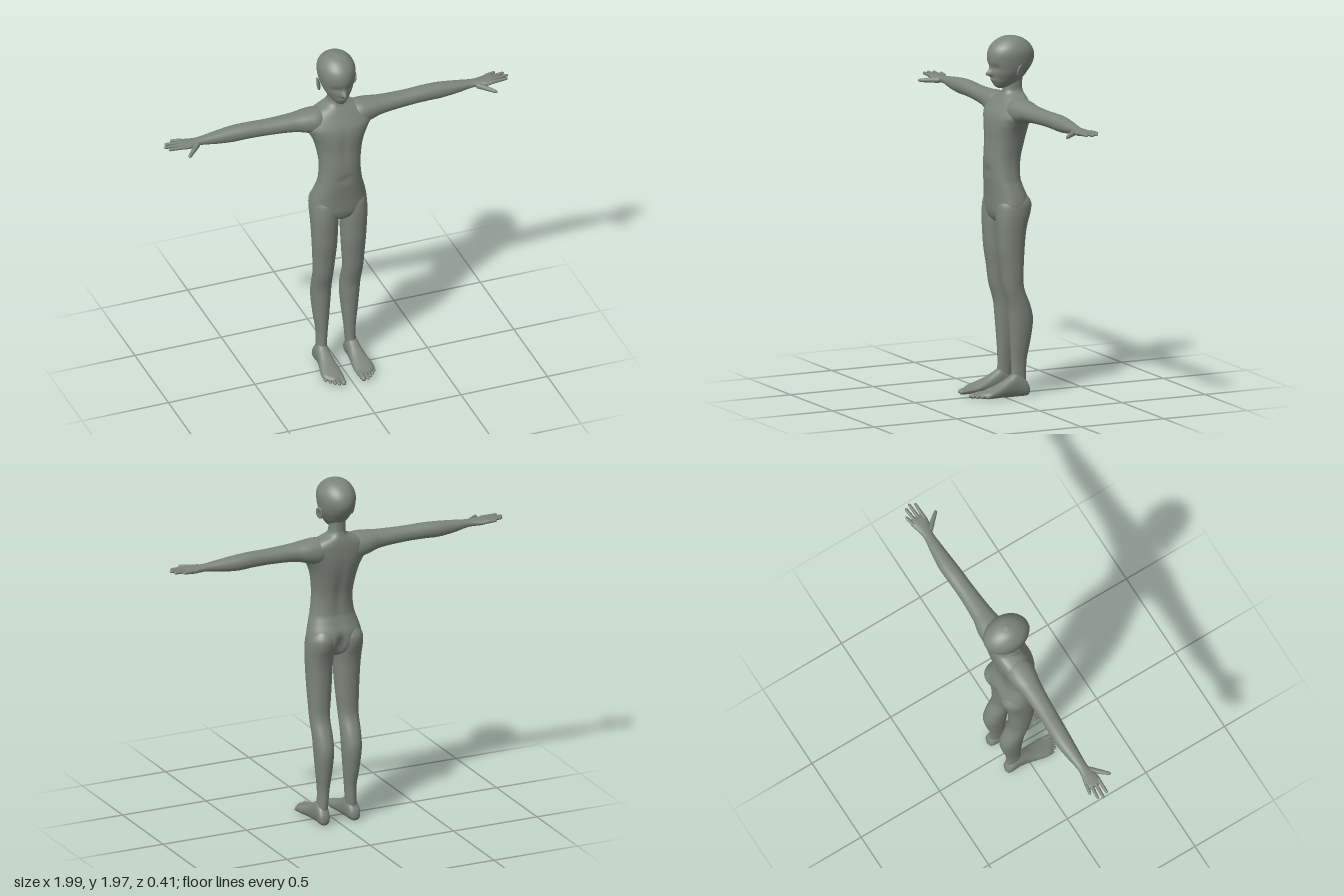
import * as THREE from 'three';

const skin = new THREE.MeshStandardMaterial({ color: 0x7d857b });
skin.name = 'grey clay';

// Smooth interpolation of cross-sections [t, a0, a1, b0, b1]
function refine(rows, steps) {
  const slope = (i, k) => {
    const p = rows[Math.max(i - 1, 0)], q = rows[Math.min(i + 1, rows.length - 1)];
    return (q[k] - p[k]) / (q[0] - p[0]);
  };
  const out = [];
  for (let i = 0; i < rows.length - 1; i++) {
    const A = rows[i], B = rows[i + 1], h = B[0] - A[0];
    for (let s = 0; s < steps; s++) {
      const u = s / steps, u2 = u * u, u3 = u2 * u;
      out.push(A.map((v, k) => k === 0 ? v + h * u :
        (2 * u3 - 3 * u2 + 1) * v + (u3 - 2 * u2 + u) * h * slope(i, k) +
        (3 * u2 - 2 * u3) * B[k] + (u3 - u2) * h * slope(i + 1, k)));
    }
  }
  out.push(rows[rows.length - 1]);
  return out;
}

// Loft of rounded rings along an axis; a, b are the next two axes in cyclic order
function loft(axis, rows, { power = 2, seg = 36, steps = 5, deform } = {}) {
  const rings = refine(rows, steps), pos = [], idx = [], v = new THREE.Vector3();
  const put = (t, a, b) => {
    v.setComponent(axis, t).setComponent((axis + 1) % 3, a).setComponent((axis + 2) % 3, b);
    if (deform) deform(v);
    pos.push(v.x, v.y, v.z);
  };
  const round = c => Math.sign(c) * Math.abs(c) ** (2 / power);
  for (const [t, a0, a1, b0, b1] of rings)
    for (let j = 0; j < seg; j++) {
      const w = j / seg * Math.PI * 2;
      put(t, (a0 + a1) / 2 + (a1 - a0) / 2 * round(Math.cos(w)),
        (b0 + b1) / 2 + (b1 - b0) / 2 * round(Math.sin(w)));
    }
  for (const r of [rings[0], rings[rings.length - 1]]) put(r[0], (r[1] + r[2]) / 2, (r[3] + r[4]) / 2);
  const n = rings.length, c0 = n * seg;
  for (let j = 0; j < seg; j++) {
    const k = (j + 1) % seg, e = (n - 1) * seg;
    for (let i = 0; i < n - 1; i++) {
      const p = i * seg, q = p + seg;
      idx.push(p + j, p + k, q + k, p + j, q + k, q + j);
    }
    idx.push(c0, k, j, c0 + 1, e + j, e + k);
  }
  const g = new THREE.BufferGeometry();
  g.setAttribute('position', new THREE.Float32BufferAttribute(pos, 3));
  g.setIndex(idx);
  g.computeVertexNormals();
  return g;
}

// Tapered rounded digit between two points
function digit(from, to, r, taper = 0.8, flat = 1) {
  const a = new THREE.Vector3(...from), d = new THREE.Vector3(...to).sub(a), len = d.length();
  const g = new THREE.CapsuleGeometry(r, len - r, 6, 14, 4);
  g.translate(0, (len - r) / 2, 0);
  const p = g.attributes.position;
  for (let i = 0; i < p.count; i++) {
    const k = 1 - (1 - taper) * THREE.MathUtils.clamp(p.getY(i) / len, 0, 1);
    p.setX(i, p.getX(i) * k);
    p.setZ(i, p.getZ(i) * k);
  }
  g.computeVertexNormals();
  g.applyQuaternion(new THREE.Quaternion().setFromUnitVectors(new THREE.Vector3(0, 1, 0), d.normalize()));
  g.scale(1, flat, 1);
  return g.translate(...from);
}

// Copy reflected to the other side, with faces turned back outward
function mirrored(g) {
  const m = g.clone().scale(-1, 1, 1), ix = m.index.array;
  for (let i = 0; i < ix.length; i += 3) [ix[i], ix[i + 1]] = [ix[i + 1], ix[i]];
  m.computeVertexNormals();
  return m;
}

const bump = (d, w) => Math.exp(-((d / w) ** 2));

export function createModel() {
  const model = new THREE.Group();
  model.name = 'figure';
  const add = (name, g) => {
    const m = new THREE.Mesh(g, skin);
    m.name = name;
    model.add(m);
  };
  const pair = (name, g) => {
    add('left' + name, g);
    add('right' + name, mirrored(g));
  };

  // Torso and neck, rows: y, back, front, -x, +x
  const torso = [
    [0.955, -0.09, 0.015, 0.03], [0.975, -0.115, 0.035, 0.09], [1.01, -0.138, 0.048, 0.15],
    [1.05, -0.148, 0.052, 0.158], [1.1, -0.145, 0.055, 0.15], [1.15, -0.126, 0.06, 0.136],
    [1.2, -0.112, 0.065, 0.122], [1.3, -0.116, 0.068, 0.113], [1.4, -0.136, 0.06, 0.126],
    [1.46, -0.148, 0.058, 0.143], [1.51, -0.154, 0.052, 0.168], [1.55, -0.156, 0.04, 0.19],
    [1.6, -0.156, 0.01, 0.18], [1.635, -0.152, -0.012, 0.115], [1.66, -0.146, -0.028, 0.056],
    [1.69, -0.14, -0.034, 0.042], [1.77, -0.146, -0.035, 0.045],
  ].map(([y, zb, zf, w]) => [y, zb, zf, -w, w]);
  add('torso', loft(1, torso, {
    power: 2.3, seg: 64, deform: v => {
      if (v.z < -0.06) {
        v.z += 0.035 * bump(v.x, 0.018) * bump(v.y - 1.02, 0.055);   // cleft
        v.z += 0.008 * bump(v.x, 0.025) * bump(v.y - 1.33, 0.16);    // spine
      } else if (v.z > 0) {
        v.z -= 0.01 * bump(v.x, 0.035) * bump(v.y - 1.235, 0.012);   // navel
        v.z -= 0.005 * bump(v.x, 0.015) * bump(v.y - 1.45, 0.08);    // breastbone
      }
    },
  }));

  // Head with nose, lips and eye hollows
  const head = [
    [1.688, -0.05, 0.0, 0.012], [1.698, -0.085, 0.018, 0.03], [1.72, -0.12, 0.03, 0.05],
    [1.745, -0.148, 0.036, 0.066], [1.77, -0.168, 0.042, 0.079], [1.8, -0.19, 0.046, 0.09],
    [1.84, -0.208, 0.056, 0.098], [1.88, -0.207, 0.055, 0.101], [1.915, -0.19, 0.04, 0.092],
    [1.945, -0.158, 0.008, 0.07], [1.963, -0.12, -0.028, 0.043], [1.972, -0.078, -0.068, 0.005],
  ].map(([y, zb, zf, w]) => [y, zb, zf, -w, w]);
  add('head', loft(1, head, {
    seg: 72, steps: 7, deform: v => {
      if (v.z < -0.02) return;
      const f = Math.min(1, (v.z + 0.02) / 0.04);
      v.z += f * 0.032 * bump(v.x, 0.014) * bump(v.y - 1.768, v.y > 1.768 ? 0.024 : 0.013);
      v.z += f * 0.008 * bump(v.x, 0.025) * bump(v.y - 1.735, 0.012);
      v.z -= f * 0.007 * bump(Math.abs(v.x) - 0.04, 0.022) * bump(v.y - 1.805, 0.018);
    },
  }));

  // Ears: dished discs leaning out and back
  const ear = new THREE.SphereGeometry(1, 24, 18), ep = ear.attributes.position;
  for (let i = 0; i < ep.count; i++) {
    const r = Math.hypot(ep.getY(i), ep.getZ(i));
    if (ep.getX(i) > 0) ep.setX(i, ep.getX(i) - 0.9 * bump(r, 0.6));
  }
  ear.scale(0.011, 0.037, 0.024);
  ear.rotateY(0.5).rotateZ(-0.15).rotateX(-0.2).translate(0.102, 1.79, -0.083);
  ear.computeVertexNormals();
  pair('Ear', ear);

  // Arms and palms, rows: x, low y, high y, back z, front z
  pair('Arm', loft(0, [
    [0.06, 1.51, 1.635, -0.14, -0.02], [0.12, 1.5, 1.643, -0.148, 0.005],
    [0.18, 1.515, 1.64, -0.146, 0.0], [0.25, 1.534, 1.633, -0.132, -0.014],
    [0.4, 1.545, 1.628, -0.126, -0.028], [0.52, 1.546, 1.63, -0.13, -0.035],
    [0.6, 1.543, 1.627, -0.131, -0.04], [0.7, 1.552, 1.617, -0.12, -0.047],
    [0.78, 1.566, 1.607, -0.109, -0.052], [0.82, 1.567, 1.604, -0.112, -0.046],
    [0.86, 1.568, 1.603, -0.122, -0.034], [0.895, 1.576, 1.602, -0.128, -0.034],
    [0.912, 1.583, 1.598, -0.122, -0.042],
  ], { power: 2.2 }));

  // Fingers and thumb
  [[-0.045, -0.046, 0.985], [-0.07, -0.077, 1.0], [-0.095, -0.105, 0.987], [-0.117, -0.129, 0.945]]
    .forEach(([z0, z1, x], i) =>
      pair('Finger' + (i + 1), digit([0.885, 1.59, z0], [x - 0.004, 1.593, z1], 0.011, 0.72)));
  pair('Thumb', digit([0.815, 1.582, -0.052], [0.892, 1.573, 0.034], 0.017, 0.5, 1));

  // Legs, rows: y, back, front, inner x, outer x
  pair('Leg', loft(1, [
    [0.06, -0.12, -0.03, 0.06, 0.118], [0.12, -0.125, -0.04, 0.056, 0.112],
    [0.2, -0.13, -0.04, 0.05, 0.112], [0.3, -0.15, -0.035, 0.04, 0.124],
    [0.42, -0.165, -0.026, 0.031, 0.135], [0.5, -0.147, -0.018, 0.03, 0.138],
    [0.6, -0.108, 0.008, 0.03, 0.141], [0.7, -0.105, 0.022, 0.022, 0.146],
    [0.8, -0.11, 0.038, 0.015, 0.151], [0.9, -0.118, 0.045, 0.011, 0.156],
    [0.96, -0.13, 0.048, 0.007, 0.159], [1.02, -0.148, 0.047, 0.007, 0.16],
    [1.07, -0.15, 0.038, 0.012, 0.154], [1.12, -0.12, 0.01, 0.028, 0.125],
  ], { power: 2.15, seg: 40 }));

  // Feet, rows: z, inner x, outer x, low y, high y
  pair('Foot', loft(2, [
    [-0.141, 0.083, 0.1, 0.02, 0.042], [-0.134, 0.066, 0.117, 0.006, 0.065],
    [-0.11, 0.056, 0.124, 0, 0.1], [-0.065, 0.052, 0.124, 0, 0.13],
    [-0.02, 0.049, 0.128, 0, 0.108], [0.03, 0.043, 0.138, 0.003, 0.08],
    [0.08, 0.037, 0.148, 0.003, 0.06], [0.115, 0.037, 0.148, 0.005, 0.048],
    [0.14, 0.039, 0.13, 0.007, 0.04], [0.16, 0.045, 0.105, 0.012, 0.034],
  ], { power: 2.3 }));

  // Toes from big to little
  [[0.055, 0.058, 0.205, 0.017], [0.08, 0.083, 0.2, 0.012], [0.1, 0.103, 0.186, 0.0115],
    [0.118, 0.122, 0.165, 0.011], [0.135, 0.14, 0.142, 0.011]]
    .forEach(([x0, x1, z, r], i) =>
      pair('Toe' + (i + 1), digit([x0, 0.024, z - 0.07], [x1, 0.018, z - r * 0.1], r, 0.75)));

  return model;
}
